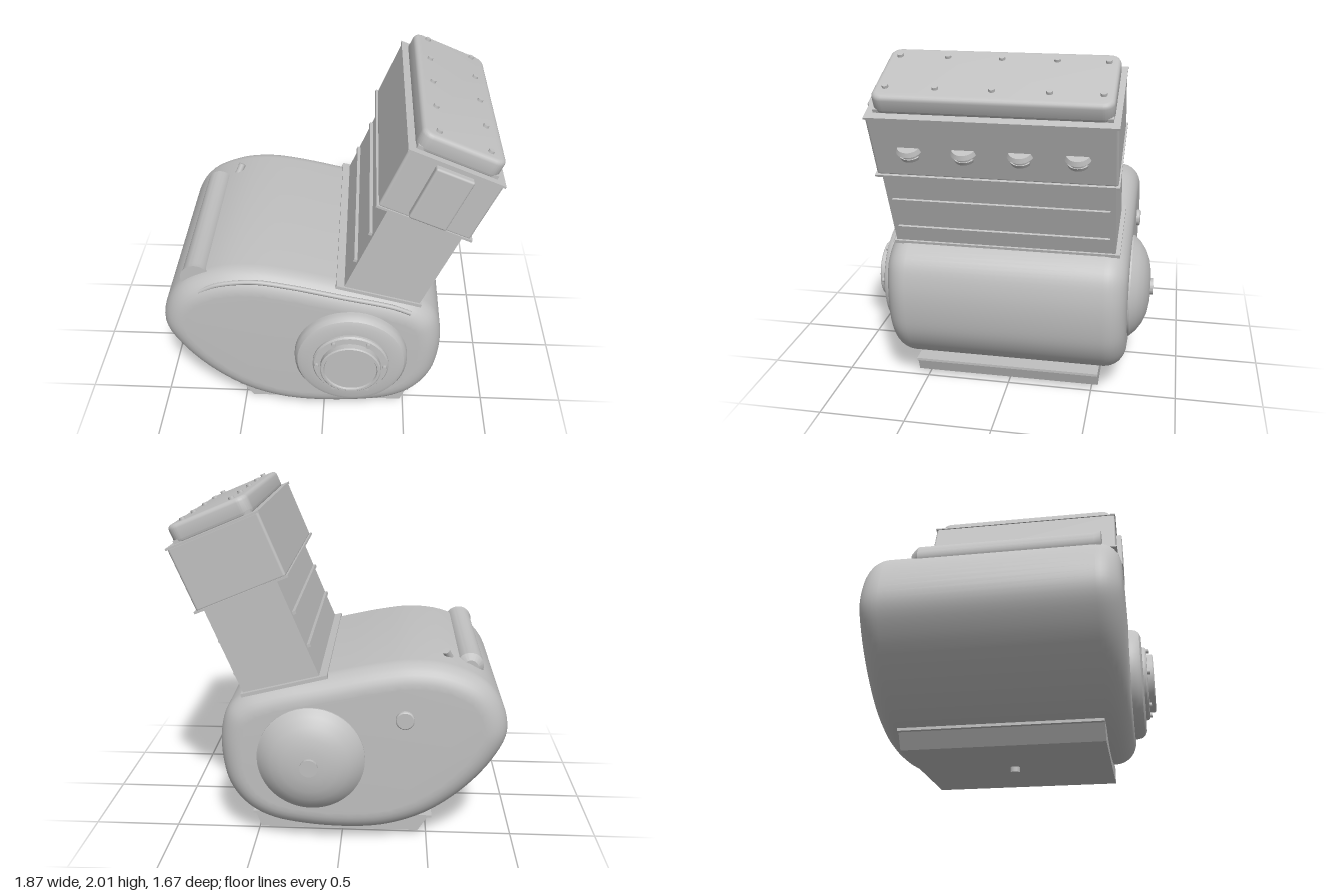
import * as THREE from 'three';
import { toCreasedNormals } from 'three/addons/utils/BufferGeometryUtils.js';
import { RoundedBoxGeometry } from 'three/addons/geometries/RoundedBoxGeometry.js';

export function createModel() {
  const model = new THREE.Group();
  model.name = 'engine';
  const metal = new THREE.MeshStandardMaterial({ color: 0xc0c0c0 });
  metal.name = 'grey metal';

  const add = (parent, name, geo, x = 0, y = 0, z = 0) => {
    const m = new THREE.Mesh(geo, metal);
    m.name = name;
    m.position.set(x, y, z);
    parent.add(m);
    return m;
  };
  // box given by its limits
  const box = (parent, name, x0, x1, y0, y1, z0, z1, r = 0) => {
    const s = [x1 - x0, y1 - y0, z1 - z0];
    const geo = r ? new RoundedBoxGeometry(...s, 3, r) : new THREE.BoxGeometry(...s);
    return add(parent, name, geo, (x0 + x1) / 2, (y0 + y1) / 2, (z0 + z1) / 2);
  };
  // turned part whose axis points to +z or -z
  const turned = (name, profile, x, y, dir) => {
    const pts = profile.map(([r, h]) => new THREE.Vector2(r, h));
    const geo = toCreasedNormals(new THREE.LatheGeometry(pts, 48), 0.5);
    add(model, name, geo, x, y, 0).rotation.x = dir * Math.PI / 2;
  };

  // crankcase: egg-shaped outline with rounded sides
  const outline = new THREE.CatmullRomCurve3([
    [-0.935, 0.7], [-0.9, 0.87], [-0.8, 1.0], [-0.6, 1.09], [-0.4, 1.11], [-0.2, 1.085],
    [0.1, 1.02], [0.4, 0.955], [0.55, 0.9], [0.645, 0.815], [0.685, 0.68], [0.685, 0.5],
    [0.65, 0.35], [0.56, 0.22], [0.42, 0.135], [0.2, 0.09], [-0.1, 0.08], [-0.3, 0.11],
    [-0.5, 0.19], [-0.7, 0.34], [-0.86, 0.53],
  ].reverse().map(([x, y]) => new THREE.Vector3(x, y, 0)), true);
  const caseShape = new THREE.Shape(outline.getPoints(100).slice(0, -1).map(p => new THREE.Vector2(p.x, p.y)));
  const bevel = 0.13;
  const caseGeo = new THREE.ExtrudeGeometry(caseShape, {
    depth: 1.395 - 2 * bevel, bevelSize: bevel, bevelThickness: bevel, bevelOffset: -bevel, bevelSegments: 8,
  });
  add(model, 'crankcase', toCreasedNormals(caseGeo, 0.6), 0, 0, -0.695 + bevel);

  // raised seam along the upper front edge
  const seam = new THREE.CatmullRomCurve3([
    [-0.7, 0.98], [-0.6, 1.03], [-0.4, 1.06], [-0.2, 1.035], [0.1, 0.97], [0.4, 0.905], [0.5, 0.865],
  ].map(([x, y]) => new THREE.Vector3(x, y, 0.672)));
  add(model, 'coverSeam', new THREE.TubeGeometry(seam, 40, 0.014, 8));

  // front round cover, ring and cap
  const cx = 0.165, cy = 0.555;
  turned('frontCover', [[0.33, 0.66], [0.33, 0.715], [0.325, 0.74], [0.31, 0.76], [0.285, 0.77], [0.22, 0.772],
    [0.22, 0.785], [0.212, 0.795], [0.175, 0.797], [0.175, 0.83], [0.168, 0.836], [0.155, 0.836], [0.15, 0.826], [0, 0.826]], cx, cy, 1);
  for (let i = 0; i < 6; i++) {
    const a = i * Math.PI / 3;
    const bolt = add(model, 'frontCoverBolt', new THREE.CylinderGeometry(0.014, 0.014, 0.03, 12),
      cx + 0.196 * Math.cos(a), cy + 0.196 * Math.sin(a), 0.797);
    bolt.rotation.x = Math.PI / 2;
  }

  // rear domed cover and plugs
  turned('rearDome', [[0.305, 0.66], [0.305, 0.705], [0.295, 0.715], [0.27, 0.742], [0.22, 0.776], [0.16, 0.8], [0.09, 0.812], [0, 0.815]], cx, cy, -1);
  turned('rearDomeKnob', [[0.05, 0.78], [0.05, 0.833], [0, 0.833]], cx, cy, -1);
  turned('rearPlug', [[0.052, 0.67], [0.052, 0.712], [0.046, 0.718], [0, 0.718]], -0.36, 0.8, -1);

  // starter housing lying on the crankcase, with a tapered rear end
  turned('starterHousing', [[0, -0.44], [0.045, -0.44], [0.078, -0.4], [0.078, 0.56], [0.085, 0.6], [0, 0.6]], -0.73, 1.02, 1);
  const filler = add(model, 'oilFiller', new THREE.CylinderGeometry(0.022, 0.022, 0.1, 16), -0.605, 1.085, -0.43);
  filler.rotation.set(-0.5, 0, -0.4);

  // oil pan with sloping ends, lips and drain plug
  const panShape = new THREE.Shape([[-0.45, 0.03], [0.48, 0.03], [0.515, 0.125], [-0.51, 0.125]].map(p => new THREE.Vector2(...p)));
  add(model, 'oilPan', new THREE.ExtrudeGeometry(panShape, { depth: 1.1, bevelEnabled: false }), 0, 0, -0.54);
  box(model, 'oilPanLip', -0.53, 0.53, 0.115, 0.13, -0.54, 0.56);
  add(model, 'drainPlug', new THREE.CylinderGeometry(0.028, 0.028, 0.04, 16), 0, 0.02, 0.01);

  // thin gasket under the cylinder block
  const gasket = box(model, 'blockGasket', -0.25, 0.25, -0.01, 0.01, -0.645, 0.65);
  gasket.position.set(0.315, 0.962, 0.003);
  gasket.rotation.z = -0.245;

  // everything above leans forward together
  const bank = new THREE.Group();
  bank.name = 'cylinderBank';
  bank.rotation.z = -Math.PI / 8;
  model.add(bank);
  box(bank, 'cylinderBlock', -0.28, 0.157, 0.9, 1.58, -0.62, 0.64);
  for (const t of [1.163, 1.365]) {
    box(bank, 'blockRib', 0.14, 0.17, t - 0.009, t + 0.009, -0.59, 0.61);
    box(bank, 'blockRib', -0.3, -0.27, t - 0.009, t + 0.009, -0.59, 0.61);
  }
  box(bank, 'cylinderHead', -0.34, 0.195, 1.572, 1.95, -0.635, 0.65, 0.015);
  box(bank, 'headLip', -0.352, 0.208, 1.567, 1.58, -0.643, 0.658);
  box(bank, 'headTopLip', -0.346, 0.202, 1.938, 1.95, -0.64, 0.655);
  box(bank, 'headSidePlate', -0.177, 0.04, 1.593, 1.923, 0.62, 0.688, 0.012);
  box(bank, 'headGasket', -0.3, 0.155, 1.945, 1.97, -0.605, 0.615);

  // valve cover: rounded rectangle with a soft upper edge
  const w = 0.235, d = 0.615, r = 0.06;
  const coverShape = new THREE.Shape();
  coverShape.moveTo(w, -d + r);
  for (const [x, y, a] of [[w - r, d - r, 0], [r - w, d - r, 1], [r - w, r - d, 2], [w - r, r - d, 3]])
    coverShape.absarc(x, y, r, a * Math.PI / 2, (a + 1) * Math.PI / 2, false);
  const coverGeo = new THREE.ExtrudeGeometry(coverShape, {
    depth: 0.06, bevelSize: 0.025, bevelThickness: 0.025, bevelOffset: -0.025, bevelSegments: 4, curveSegments: 8,
  });
  coverGeo.rotateX(-Math.PI / 2);
  add(bank, 'valveCover', toCreasedNormals(coverGeo, 0.5), -0.073, 1.966, 0.005);
  for (const z of [-0.55, -0.285, 0.005, 0.295, 0.555])
    for (const s of [-0.222, 0.07])
      add(bank, 'valveCoverBolt', new THREE.CylinderGeometry(0.016, 0.018, 0.02, 12), s, 2.055, z);

  // spark plug ports along the leaning face
  for (const z of [0.45, 0.16, -0.135, -0.43]) {
    add(bank, 'plugFlange', new THREE.CylinderGeometry(0.06, 0.07, 0.024, 24), 0.18, 1.752, z);
    add(bank, 'plugBody', new THREE.CylinderGeometry(0.045, 0.045, 0.05, 24), 0.18, 1.72, z);
    add(bank, 'plugFoot', new THREE.CylinderGeometry(0.06, 0.055, 0.02, 24), 0.17, 1.7, z);
  }
  return model;
}
